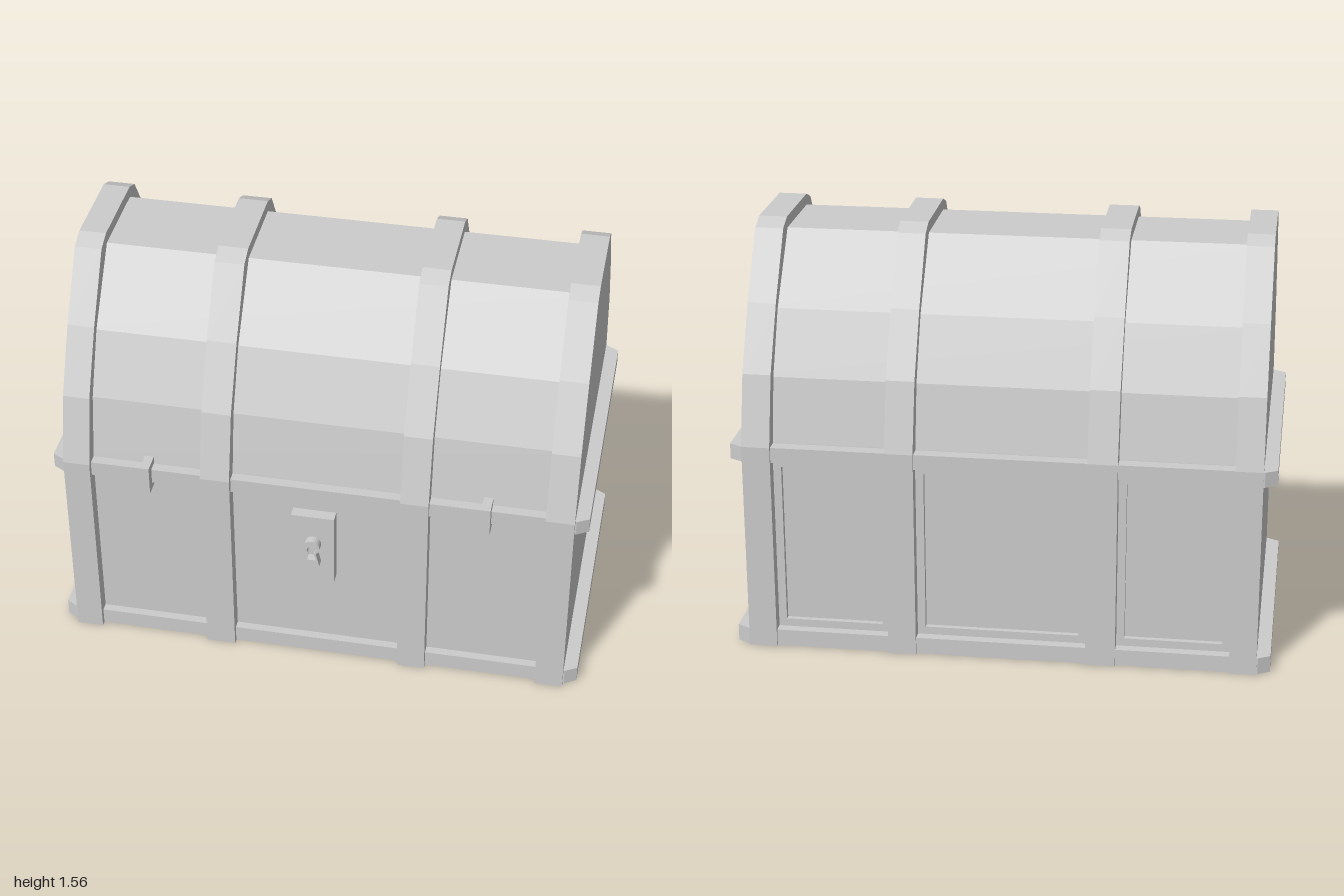
import * as THREE from 'three';

const MID_Z = -0.01; // the chest body sits slightly behind centre

export function createModel() {
  const chest = new THREE.Group();
  chest.name = 'chest';
  const material = new THREE.MeshStandardMaterial({ color: 0xcccccc, flatShading: true });

  const add = (name, geometry) => {
    const mesh = new THREE.Mesh(geometry, material);
    mesh.name = name;
    chest.add(mesh);
    return mesh;
  };

  // Box given by its limits on each axis
  const box = (name, x0, x1, y0, y1, z0, z1) =>
    add(name, new THREE.BoxGeometry(x1 - x0, y1 - y0, z1 - z0)
      .translate((x0 + x1) / 2, (y0 + y1) / 2, (z0 + z1) / 2));

  // Symmetric (half depth, height) profile swept along x
  const sweep = (name, half, x0, x1) => {
    const points = [
      ...half.map(([z, y]) => new THREE.Vector2(z, y)),
      ...half.slice().reverse().map(([z, y]) => new THREE.Vector2(-z, y)),
    ];
    const geometry = new THREE.ExtrudeGeometry(new THREE.Shape(points), { depth: x1 - x0, bevelEnabled: false });
    return add(name, geometry.rotateY(Math.PI / 2).translate(x0, 0, MID_Z));
  };

  // Recessed lower box and faceted lid
  box('lowerBox', -0.94, 0.94, 0.005, 0.79, -0.51, 0.505);
  sweep('lid', [[0.51, 0.78], [0.508, 0.8], [0.463, 1.04], [0.358, 1.27], [0.16, 1.52]], -0.94, 0.94);

  // Straps running up the walls and over the lid; the outer two close the ends
  const strapProfile = [[0.567, 0], [0.567, 0.8], [0.503, 1.06], [0.383, 1.295], [0.228, 1.535], [0.163, 1.562]];
  const straps = [[-0.95, -0.85], [-0.43, -0.32], [0.315, 0.42], [0.845, 0.95]];
  for (const [x0, x1] of straps) sweep('strap', strapProfile, x0, x1);

  // Base and rim mouldings with clipped corners
  const moulding = (name, y0, y1) => {
    const front = 0.537, back = -0.568;
    const plan = [
      [-0.955, front], [0.955, front], [1, front - 0.025], [1, back + 0.025],
      [0.955, back], [-0.955, back], [-1, back + 0.025], [-1, front - 0.025],
    ].map(([x, z]) => new THREE.Vector2(x, -z));
    const geometry = new THREE.ExtrudeGeometry(new THREE.Shape(plan), { depth: y1 - y0, bevelEnabled: false });
    add(name, geometry.rotateX(-Math.PI / 2).translate(0, y0, 0));
  };
  moulding('baseMoulding', 0.001, 0.065);
  moulding('rimMoulding', 0.74, 0.798);

  // Narrow inner frames around the back panels
  for (let i = 0; i < 3; i++) {
    const x0 = straps[i][1], x1 = straps[i + 1][0], w = 0.03;
    const z0 = -0.53, z1 = -0.5;
    box('backFrameSide', x0, x0 + w, 0.06, 0.745, z0, z1);
    box('backFrameSide', x1 - w, x1, 0.06, 0.745, z0, z1);
    box('backFrameBottom', x0 + w, x1 - w, 0.06, 0.065 + w, z0, z1);
    box('backFrameTop', x0 + w, x1 - w, 0.74 - w, 0.745, z0, z1);
  }

  // Latches across the rim
  for (const x of [-0.636, 0.63]) {
    box('latch', x - 0.017, x + 0.017, 0.712, 0.826, 0.535, 0.57);
    box('latchTop', x - 0.017, x + 0.017, 0.8, 0.826, 0.49, 0.535);
    box('latchFoot', x - 0.017, x + 0.017, 0.712, 0.735, 0.5, 0.535);
  }

  // Lock plate with a raised keyhole surround
  box('lockPlate', -0.092, 0.07, 0.375, 0.675, 0.5, 0.548);
  const keyhole = (PathType, s) => {
    const path = new PathType();
    path.moveTo(-0.03 * s, -0.055 * s);
    path.lineTo(0.03 * s, -0.055 * s);
    path.lineTo(0.017 * s, 0.0);
    path.absarc(0, 0.027 * s, 0.031 * s, -Math.PI / 3, Math.PI * 4 / 3, false);
    path.lineTo(-0.017 * s, 0.0);
    path.closePath();
    return path;
  };
  const surround = keyhole(THREE.Shape, 1);
  surround.holes.push(keyhole(THREE.Path, 0.55));
  add('keyholeSurround', new THREE.ExtrudeGeometry(surround, { depth: 0.037, bevelEnabled: false, curveSegments: 12 })
    .translate(-0.01, 0.526, 0.543));

  return chest;
}
